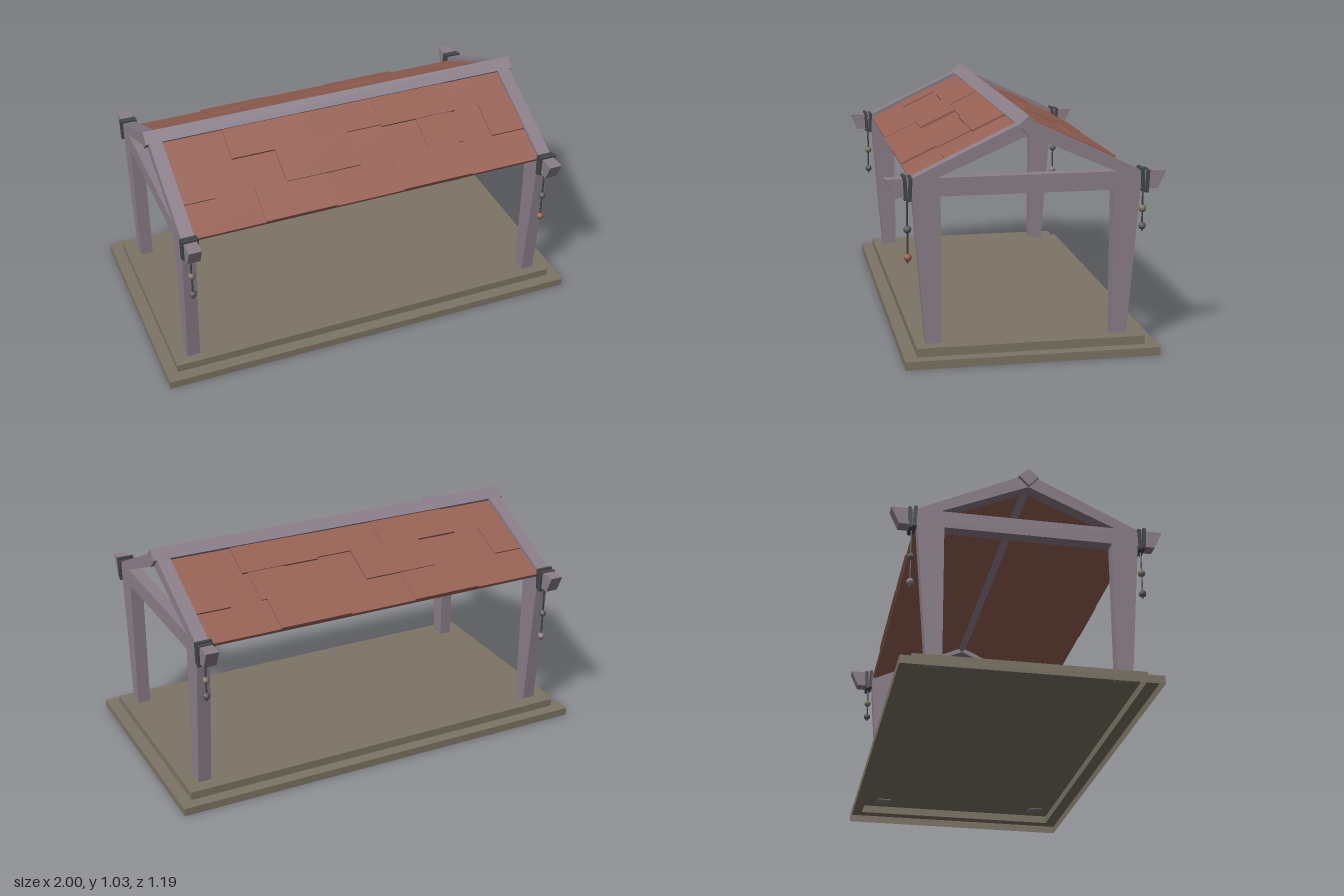
import * as THREE from 'three';

const mat = (name, color, side = THREE.FrontSide) => {
  const m = new THREE.MeshStandardMaterial({ color, side });
  m.name = name;
  return m;
};

export function createModel() {
  const wood = mat('greyPurpleWood', 0x8b7f8a);
  const stone = mat('stone', 0x7d7465, THREE.DoubleSide);
  const clay = mat('roofClay', 0x986255);
  const iron = mat('darkStrap', 0x43474a);
  const redBead = mat('redBead', 0x98604f);
  const tanBead = mat('tanBead', 0x7d7465);
  const greyBead = mat('greyBead', 0x5d5a60);

  const model = new THREE.Group();
  model.name = 'openPavilion';
  const add = (name, geo, material, x = 0, y = 0, z = 0, parent = model) => {
    const m = new THREE.Mesh(geo, material);
    m.name = name;
    m.position.set(x, y, z);
    parent.add(m);
    return m;
  };
  // Extrudes a (z, y) outline along x, centred on x = 0
  const profile = (pts, width) => {
    const shape = new THREE.Shape(pts.map(([z, y]) => new THREE.Vector2(z, y)));
    const g = new THREE.ExtrudeGeometry(shape, { depth: width, bevelEnabled: false });
    return g.translate(0, 0, -width / 2).rotateY(-Math.PI / 2);
  };

  // Stepped base: a hollow shell without a bottom, from rectangular loops
  const rings = [[1, 0.545, 0], [1, 0.545, 0.036], [0.946, 0.49, 0.036], [0.946, 0.49, 0.073]];
  const corners = rings.map(([w, d, y]) => [[-w, y, d], [w, y, d], [w, y, -d], [-w, y, -d]]);
  const pos = [];
  const quad = (a, b, c, d) => [a, b, c, a, c, d].forEach((p) => pos.push(...p));
  for (let r = 0; r < 3; r++) {
    for (let i = 0; i < 4; i++) {
      const j = (i + 1) % 4;
      quad(corners[r][i], corners[r][j], corners[r + 1][j], corners[r + 1][i]);
    }
  }
  quad(...corners[3]);
  const baseGeo = new THREE.BufferGeometry();
  baseGeo.setAttribute('position', new THREE.Float32BufferAttribute(pos, 3));
  baseGeo.computeVertexNormals();
  add('steppedBase', baseGeo, stone, 0, 0, -0.01);

  // Two gable frames: crossbeam, tapered posts and rafters
  const W = 0.06;
  for (const sx of [-1, 1]) {
    const frame = new THREE.Group();
    frame.name = sx > 0 ? 'leftFrame' : 'rightFrame';
    frame.position.x = sx * 0.855;
    model.add(frame);
    const beam = [[-0.56, 0.702], [0.56, 0.702], [0.596, 0.78], [-0.596, 0.78]];
    add('crossbeam', profile(beam, W - 0.002), wood, 0, 0, 0, frame);
    for (const s of [-1, 1]) {
      const post = [[0.367, 0.07], [0.434, 0.07], [0.489, 0.78], [0.367, 0.78]];
      const rafter = [[0.383, 0.779], [0.489, 0.779], [0.045, 0.99], [0, 1.0], [0, 0.945]];
      const flip = (pts) => pts.map(([z, y]) => [z * s, y]);
      add('post', profile(flip(post), W), wood, 0, 0, 0, frame);
      add('rafter', profile(flip(rafter), W), wood, 0, 0, 0, frame);
    }
  }

  // Diamond ridge beam
  const ridge = [[0, 1.03], [0.045, 0.99], [0, 0.945], [-0.045, 0.99]];
  add('ridgeBeam', profile(ridge, 1.8), wood);

  // Roof slopes with raised shingles: [x0, x1, z0, z1, thickness]
  const slope = 0.474, angle = Math.atan(slope);
  const shingles = [
    [-0.55, -0.17, 0.03, 0.175, 0.01], [-0.17, 0.17, 0.03, 0.165, 0.006], [0.17, 0.54, 0.03, 0.175, 0.009],
    [-0.825, -0.68, 0.175, 0.33, 0.006], [-0.35, 0, 0.165, 0.33, 0.012],
    [0.34, 0.515, 0.165, 0.325, 0.006], [0.66, 0.825, 0.17, 0.33, 0.008],
    [-0.5, -0.17, 0.32, 0.482, 0.008], [-0.17, 0.15, 0.32, 0.485, 0.005], [0.15, 0.49, 0.32, 0.482, 0.008],
  ];
  for (const s of [-1, 1]) {
    const plate = (name, x0, x1, z0, z1, low, high) => {
      const z = (z0 + z1) / 2, lift = (low + high) / 2;
      const geo = new THREE.BoxGeometry(x1 - x0, high - low, (z1 - z0) / Math.cos(angle));
      const m = add(name, geo, clay, (x0 + x1) / 2,
        0.99 - slope * z + lift * Math.cos(angle), s * (z + lift * Math.sin(angle)));
      m.rotation.x = s * angle;
    };
    plate('roofPanel', -0.827, 0.827, 0.01, 0.482, -0.016, 0);
    for (const [x0, x1, z0, z1, t] of shingles) plate('shingle', x0, x1, z0, z1, -0.004, t);
  }

  // Straps around the beam ends, with hanging bead cords
  const strapGeo = new THREE.BoxGeometry(0.076, 0.098, 0.015);
  const beadGeo = new THREE.SphereGeometry(0.017, 8, 6);
  const chains = [
    [1, 1, [[0.562, greyBead], [0.442, redBead]]],
    [-1, 1, [[0.585, tanBead], [0.485, greyBead]]],
    [1, -1, [[0.61, tanBead], [0.535, greyBead]]],
    [-1, -1, [[0.562, greyBead], [0.442, wood]]],
  ];
  for (const [sx, sz, beads] of chains) {
    const charm = new THREE.Group();
    charm.name = 'beadCharm';
    charm.position.set(sx * 0.855, 0, sz * 0.503);
    model.add(charm);
    for (const k of [-1, 1]) {
      const strap = add('strap', strapGeo, iron, 0, 0.738 + k * 0.003, k * 0.01, charm);
      strap.rotation.x = k * 0.05;
    }
    const end = beads[1][0] - 0.024;
    add('cord', new THREE.CylinderGeometry(0.004, 0.004, 0.7 - end, 6), iron, 0, (0.7 + end) / 2, 0, charm);
    for (const [y, m] of beads) add('bead', beadGeo, m, 0, y, 0, charm);
  }
  return model;
}
